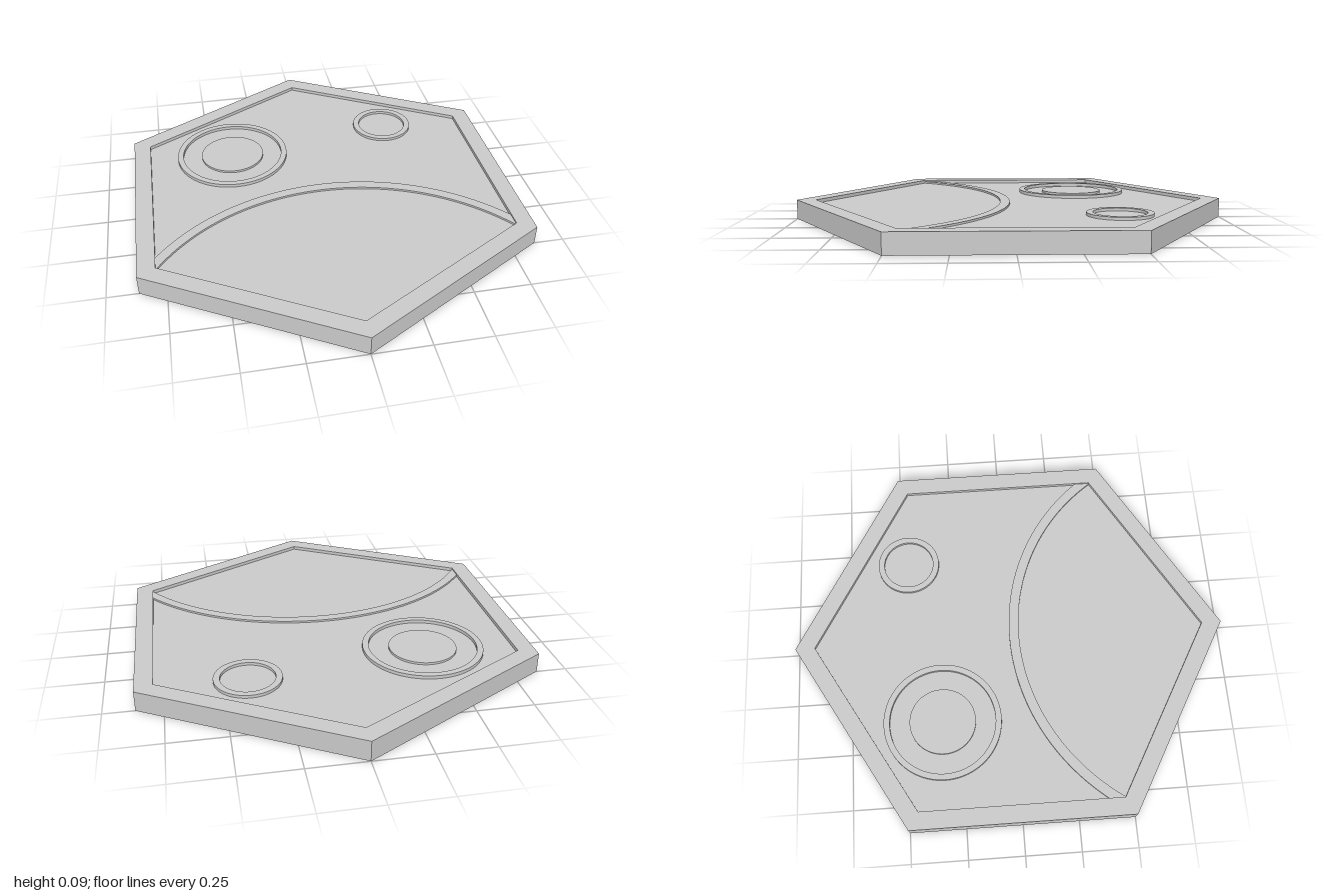
import * as THREE from 'three';
import { toCreasedNormals } from 'three/addons/utils/BufferGeometryUtils.js';

const FLOOR = 0.074;
const RIM = 0.09;

export function createModel() {
  const group = new THREE.Group();
  const smooth = new THREE.MeshStandardMaterial({ color: 0xcccccc });
  const faceted = new THREE.MeshStandardMaterial({ color: 0xcccccc, flatShading: true });

  const add = (name, geometry, material) => {
    const mesh = new THREE.Mesh(geometry, material);
    mesh.name = name;
    group.add(mesh);
    return mesh;
  };

  // Raises a flat outline from just under the floor up to the given height
  const raise = (name, shape, top, x, z) => {
    const base = FLOOR - 0.01;
    const geometry = new THREE.ExtrudeGeometry(shape, {
      depth: top - base, bevelEnabled: false, curveSegments: 64,
    });
    geometry.rotateX(-Math.PI / 2);
    add(name, toCreasedNormals(geometry, 0.6), smooth).position.set(x, base, z);
  };

  const disc = (radius) => new THREE.Shape().absarc(0, 0, radius, 0, Math.PI * 2, false);
  const ring = (outer, inner) => {
    const shape = disc(outer);
    shape.holes.push(new THREE.Path().absarc(0, 0, inner, 0, Math.PI * 2, true));
    return shape;
  };

  // Hexagonal tray: underside, side walls, rim and sunken floor in one profile
  const profile = [
    [0, 0], [1, 0], [1, RIM], [0.91, RIM], [0.91, FLOOR], [0, FLOOR],
  ].map(([r, y]) => new THREE.Vector2(r, y));
  add('hexagonalTray', new THREE.LatheGeometry(profile, 6), faceted);

  // Large ring with a raised disc in its middle
  raise('largeRing', ring(0.267, 0.24), 0.089, -0.39, -0.33);
  raise('largeRingDisc', disc(0.15), 0.084, -0.39, -0.33);

  // Small ring
  raise('smallRing', ring(0.145, 0.117), 0.087, 0.4, -0.46);

  // Low curved ridge round the front corner, its ends buried in the rim
  const half = THREE.MathUtils.degToRad(56);
  const start = Math.PI / 2 - half;
  const end = Math.PI / 2 + half;
  const arc = new THREE.Shape();
  arc.absarc(0, 0, 1, start, end, false);
  arc.absarc(0, 0, 0.955, end, start, true);
  raise('curvedRidge', arc, 0.083, 0, 1);

  return group;
}
